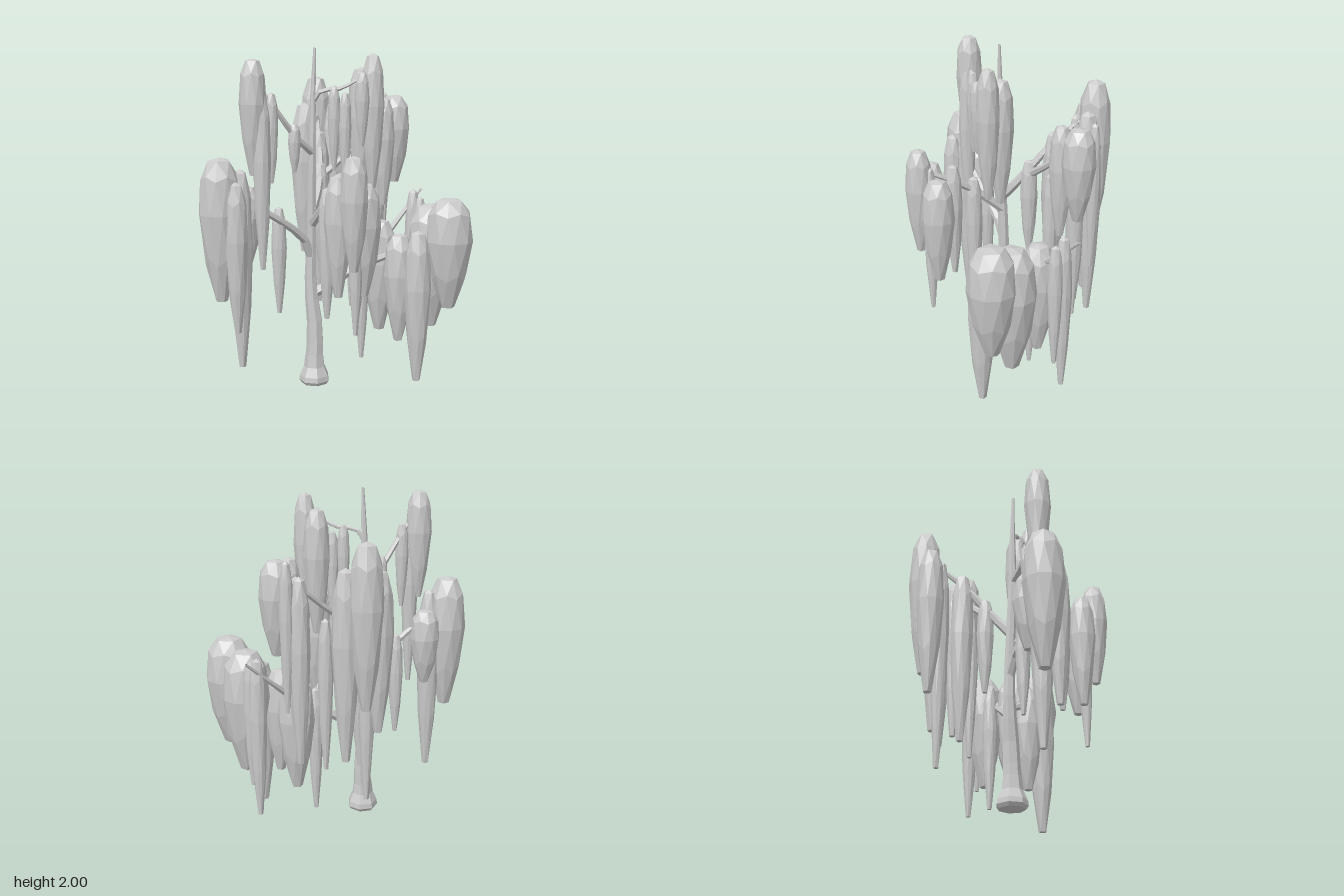
import * as THREE from 'three';

const material = new THREE.MeshStandardMaterial({ color: 0xcccccc, flatShading: true, side: THREE.DoubleSide });

// Faceted hanging leaf clump: a ball with a vertex up, stretched, flat-shouldered, narrowed and cut off at the tip
function leafGeometry(r, top, bottom) {
  const g = new THREE.IcosahedronGeometry(1, 1);
  g.rotateZ(Math.atan2(1, (1 + Math.sqrt(5)) / 2));
  const p = g.attributes.position;
  for (let i = 0; i < p.count; i++) {
    const y = Math.max(p.getY(i), -0.85);
    const width = r * (y < 0 ? 1 - 0.6 * y * y : 1);
    const drop = Math.pow(Math.max(0, (1 - y) / 1.85), 1.55);
    p.setXYZ(i, p.getX(i) * width, top + (bottom - top) * drop, p.getZ(i) * width);
  }
  g.computeVertexNormals();
  return g;
}

// Tapered tube through points of [x, y, z, radius]
function limb(name, points, steps, sides = 6) {
  const curve = new THREE.CatmullRomCurve3(points.map(p => new THREE.Vector3(p[0], p[1], p[2])));
  const g = new THREE.TubeGeometry(curve, steps, 1, sides);
  const pos = g.attributes.position;
  const v = new THREE.Vector3();
  for (let i = 0; i <= steps; i++) {
    const c = curve.getPointAt(i / steps);
    const k = curve.getUtoTmapping(i / steps) * (points.length - 1);
    const a = Math.min(Math.floor(k), points.length - 2);
    const radius = THREE.MathUtils.lerp(points[a][3], points[a + 1][3], k - a);
    for (let j = 0; j <= sides; j++) {
      const n = i * (sides + 1) + j;
      v.fromBufferAttribute(pos, n).sub(c).multiplyScalar(radius).add(c);
      pos.setXYZ(n, v.x, v.y, v.z);
    }
  }
  g.computeVertexNormals();
  const mesh = new THREE.Mesh(g, material);
  mesh.name = name;
  return mesh;
}

// Branches: points of [x, y, z, radius]
const branches = {
  lowerLeftBranch: [[-0.135, 0.78, 0.01, 0.03], [-0.18, 0.89, 0.04, 0.026], [-0.42, 1.08, 0.15, 0.02], [-0.66, 1.2, 0.19, 0.008]],
  upperLeftBranch: [[-0.13, 1.4, 0.03, 0.024], [-0.24, 1.5, 0.1, 0.018], [-0.36, 1.66, 0.15, 0.016], [-0.48, 1.82, 0.18, 0.006]],
  frontBranch: [[-0.13, 0.98, 0.02, 0.028], [-0.08, 1.13, 0.19, 0.022], [-0.03, 1.22, 0.32, 0.02], [0, 1.3, 0.48, 0.008]],
  backBranch: [[-0.13, 1.06, 0.02, 0.03], [-0.06, 1.22, -0.1, 0.025], [-0.03, 1.42, -0.26, 0.02], [0, 1.62, -0.48, 0.008]],
  upperRightBranch: [[-0.06, 1.22, -0.13, 0.024], [0.16, 1.38, -0.22, 0.018], [0.34, 1.54, -0.31, 0.014], [0.44, 1.62, -0.34, 0.006]],
  lowerRightBackBranch: [[-0.13, 0.55, 0.01, 0.032], [0.14, 0.69, -0.03, 0.027], [0.38, 0.87, -0.16, 0.02], [0.63, 1.11, -0.3, 0.008]],
  lowerRightFrontBranch: [[0.1, 0.67, -0.02, 0.024], [0.2, 0.72, 0.01, 0.022], [0.36, 0.81, 0.12, 0.02], [0.62, 0.92, 0.14, 0.008]],
  topBranch: [[-0.12, 1.7, 0.03, 0.014], [-0.08, 1.76, 0.05, 0.014], [0.02, 1.77, 0.08, 0.012], [0.17, 1.85, 0.12, 0.006]]
};

// Leaf clumps grouped by branch: [x, z, radius, top, bottom]
const leaves = {
  lowerLeftLeaves: [
    [-0.69, 0.19, 0.12, 1.41, 0.59], [-0.61, 0.27, 0.066, 1.28, 0.42], [-0.575, 0.18, 0.07, 1.34, 0.19],
    [-0.53, 0.11, 0.09, 1.23, 0.77], [-0.34, 0.085, 0.045, 1.1, 0.47]
  ],
  upperLeftLeaves: [
    [-0.495, 0.17, 0.078, 1.95, 1.3], [-0.45, 0.19, 0.052, 1.77, 0.76], [-0.39, 0.16, 0.04, 1.76, 1.25],
    [-0.25, 0.11, 0.037, 1.58, 1.3]
  ],
  frontLeaves: [
    [-0.08, 0.195, 0.052, 1.22, 0.45], [-0.035, 0.32, 0.055, 1.32, 0.62], [-0.07, 0.44, 0.08, 1.33, 0.64],
    [0.08, 0.42, 0.098, 1.28, 0.64], [0, 0.52, 0.08, 1.44, 0.8], [0.025, 0.46, 0.045, 1.34, 0.42]
  ],
  backLeaves: [
    [-0.08, -0.46, 0.085, 1.65, 0.71], [0, -0.5, 0.098, 1.81, 0.86], [0.1, -0.44, 0.08, 1.66, 0.54],
    [-0.03, -0.4, 0.055, 1.6, 0.27], [-0.03, -0.27, 0.07, 1.5, 0.43], [-0.05, -0.13, 0.052, 1.32, 0.72]
  ],
  upperRightLeaves: [
    [0.165, -0.22, 0.045, 1.32, 0.4], [0.35, -0.33, 0.06, 1.6, 0.6], [0.35, -0.41, 0.06, 1.62, 0.54],
    [0.42, -0.41, 0.04, 1.71, 0.85], [0.46, -0.32, 0.095, 1.7, 1.16], [0.37, -0.24, 0.068, 1.69, 1.03]
  ],
  lowerRightBackLeaves: [
    [0.2, -0.1, 0.045, 0.87, 0.1], [0.32, -0.13, 0.108, 0.96, 0.27], [0.56, -0.23, 0.052, 1.12, 0.16],
    [0.59, -0.18, 0.044, 1.08, 0.33]
  ],
  lowerRightFrontLeaves: [
    [0.37, 0.13, 0.09, 0.92, 0.27], [0.46, 0.215, 0.08, 0.95, 0.04], [0.585, 0.06, 0.142, 1.08, 0.33],
    [0.66, 0.18, 0.142, 1.13, 0.47], [0.15, -0.01, 0.045, 0.86, 0.39]
  ],
  topLeaves: [
    [0.15, 0.065, 0.078, 1.89, 1.15], [0.2, 0.14, 0.068, 1.97, 1.2], [0.125, 0.19, 0.042, 1.87, 1.45],
    [-0.01, 0.07, 0.037, 1.79, 1.3], [0.05, 0.09, 0.037, 1.75, 1.22]
  ]
};

export function createModel() {
  const tree = new THREE.Group();
  tree.name = 'weepingTree';

  // Trunk rising in slight bends to a thin spike, with a flared foot
  tree.add(limb('trunk', [
    [-0.12, 0.12, 0.025, 0.056], [-0.115, 0.35, 0.02, 0.049], [-0.138, 0.6, 0.01, 0.037], [-0.135, 0.8, 0.01, 0.032],
    [-0.135, 1.1, 0.02, 0.029], [-0.13, 1.45, 0.03, 0.024], [-0.125, 1.72, 0.03, 0.017], [-0.115, 2, 0.035, 0.008]
  ], 14, 7));
  const profile = [[0, 0], [0.078, 0.005], [0.092, 0.025], [0.088, 0.055], [0.064, 0.11], [0.054, 0.19]];
  const foot = new THREE.Mesh(new THREE.LatheGeometry(profile.map(p => new THREE.Vector2(...p)), 7), material);
  foot.position.set(-0.12, 0, 0.025);
  foot.name = 'trunkFoot';
  tree.add(foot);

  for (const [name, points] of Object.entries(branches)) tree.add(limb(name, points, 6));

  // Hanging leaves, each turned a little differently
  let turn = 0;
  for (const [name, list] of Object.entries(leaves)) {
    const group = new THREE.Group();
    group.name = name;
    list.forEach(([x, z, r, top, bottom]) => {
      const clump = new THREE.Mesh(leafGeometry(r, top, bottom), material);
      clump.position.set(x, 0, z);
      clump.rotation.y = turn++ * 2.4;
      clump.name = 'leafClump';
      group.add(clump);
    });
    tree.add(group);
  }
  return tree;
}
